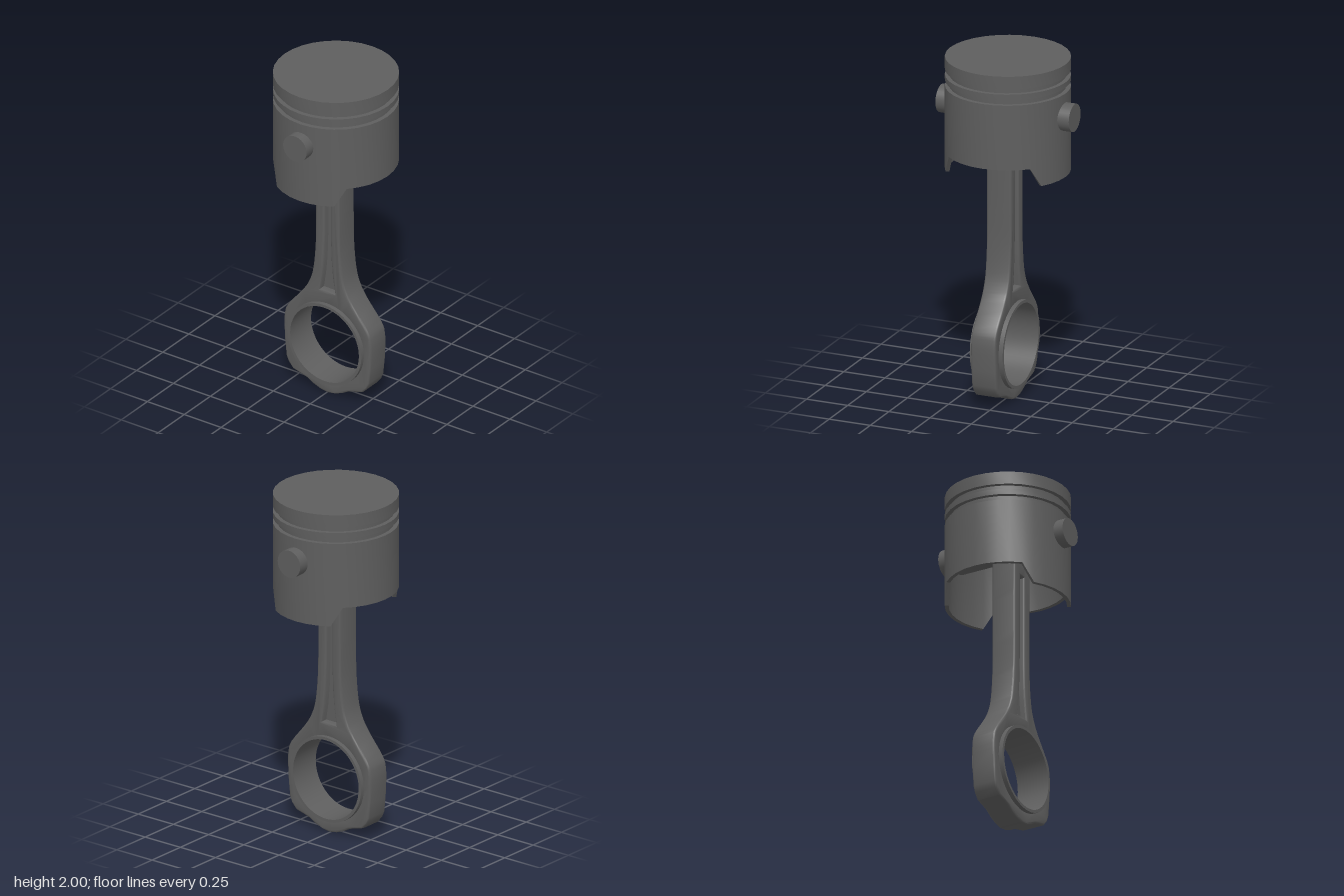
import * as THREE from 'three';
import { toCreasedNormals } from 'three/addons/utils/BufferGeometryUtils.js';

const material = new THREE.MeshStandardMaterial({ color: 0x5e5e5e });

function part(name, geometry, parent, crease = 0.6) {
  const mesh = new THREE.Mesh(toCreasedNormals(geometry, crease), material);
  mesh.name = name;
  parent.add(mesh);
}

const vectors = (list) => list.map(([x, y]) => new THREE.Vector2(x, y));

// Closed shape mirrored about x = 0 from its +x half
function mirrored(half, Type = THREE.Shape) {
  const other = half.filter(([x]) => x > 0).reverse().map(([x, y]) => [-x, y]);
  return new Type(vectors([...half, ...other]));
}

// Extrusion centred on z = 0, with bevels kept inside the outline
function slab(shape, depth, bevel) {
  const geometry = new THREE.ExtrudeGeometry(shape, {
    depth: depth - 2 * bevel, bevelEnabled: bevel > 0, bevelThickness: bevel,
    bevelSize: bevel, bevelOffset: -bevel, bevelSegments: 3, curveSegments: 40,
  });
  return geometry.translate(0, 0, -depth / 2 + bevel);
}

function buildPiston(group) {
  // Hollow crown, ring grooves and skirt
  const profile = vectors([
    [0, 1.87], [0.29, 1.87], [0.31, 1.84], [0.325, 1.78], [0.328, 1.45], [0.35, 1.45],
    [0.35, 1.83], [0.325, 1.83], [0.325, 1.863], [0.35, 1.863], [0.35, 1.895],
    [0.325, 1.895], [0.325, 1.926], [0.35, 1.926], [0.35, 2], [0, 2],
  ]);
  const geometry = new THREE.LatheGeometry(profile, 32);
  // Lower the skirt edge below each pin end
  const pos = geometry.attributes.position;
  for (let i = 0; i < pos.count; i++) {
    const angle = Math.atan2(Math.abs(pos.getX(i)), Math.abs(pos.getZ(i)));
    if (pos.getY(i) < 1.46 && angle < 0.62) pos.setY(i, 1.34);
  }
  part('piston', geometry.translate(0, 0, 0.003), group);

  // Wrist pin through both sides
  const pin = new THREE.CylinderGeometry(0.08, 0.08, 0.81, 32).rotateX(Math.PI / 2);
  part('wristPin', pin.translate(0.006, 1.697, 0), group);
}

function buildRod(group) {
  const rod = new THREE.Group();
  rod.name = 'connectingRod';
  rod.position.set(0.005, 0, 0.02); // the rod sits slightly forward
  group.add(rod);

  // Shank, shoulders and bearing cap in one outline
  const neck = new THREE.SplineCurve(vectors([
    [0.295, 0.34], [0.292, 0.41], [0.27, 0.475], [0.17, 0.6], [0.123, 0.68],
    [0.098, 0.77], [0.083, 0.93], [0.08, 1.15], [0.08, 1.4],
  ])).getPoints(32).map((p) => [p.x, p.y]);
  const outline = mirrored([
    [0, 0], [0.05, 0.008], [0.1, 0.027], [0.14, 0.05], [0.18, 0.062], [0.235, 0.077],
    [0.265, 0.112], [0.28, 0.147], [0.29, 0.24], ...neck, [0.08, 1.65],
  ]);
  const bore = new THREE.Path().absarc(0, 0.32, 0.235, 0, Math.PI * 2, true);
  const channel = [[0, 0.645], [0.05, 0.645], [0.035, 0.74], [0.025, 0.85], [0.02, 1], [0.02, 1.5], [0, 1.5]];
  outline.holes.push(bore, mirrored(channel, THREE.Path));
  part('shank', slab(outline, 0.15, 0.012), rod);

  // Web closing the middle of the channel
  const web = mirrored([[0, 0.62], [0.06, 0.62], [0.05, 0.8], [0.035, 1.55], [0, 1.55]]);
  part('web', slab(web, 0.07, 0), rod);

  // Bearing sleeve, slightly wider than the rod
  const sleeve = new THREE.LatheGeometry(vectors([
    [0.233, -0.1], [0.25, -0.1], [0.25, 0.1], [0.233, 0.1], [0.233, -0.1],
  ]), 48).rotateX(Math.PI / 2);
  part('bearingSleeve', sleeve.translate(0, 0.32, 0), rod);

  // Small end around the wrist pin
  const eye = new THREE.CylinderGeometry(0.13, 0.13, 0.15, 32).rotateX(Math.PI / 2);
  part('smallEnd', eye.translate(0, 1.697, 0), rod);
}

export function createModel() {
  const group = new THREE.Group();
  group.name = 'pistonAssembly';
  buildPiston(group);
  buildRod(group);
  return group;
}
